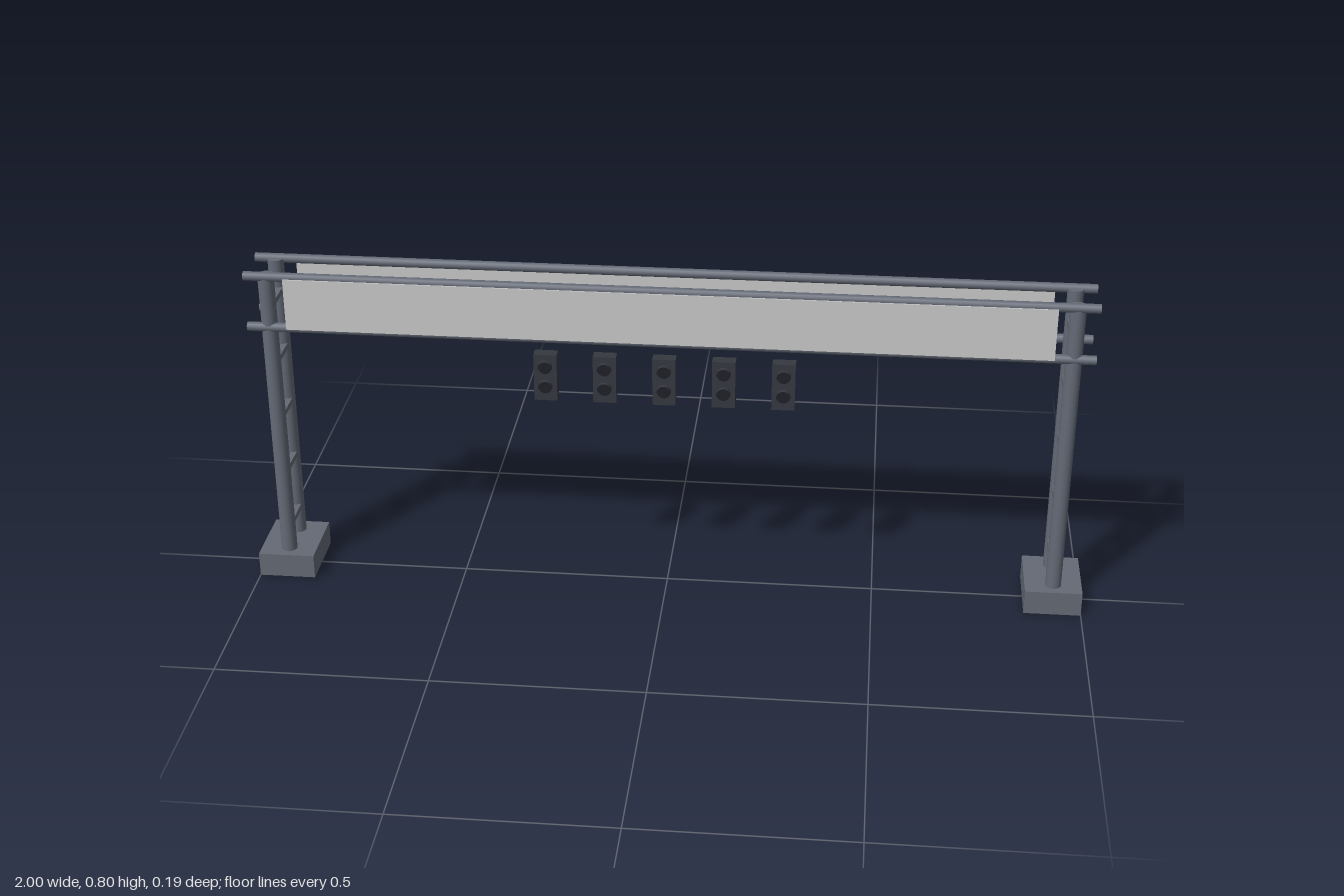
import * as THREE from 'three';

const mat = (name, color, side = THREE.FrontSide) => {
  const m = new THREE.MeshStandardMaterial({ color, side });
  m.name = name;
  return m;
};

export function createModel() {
  const steel = mat('blue grey steel', 0x646a76);
  const housing = mat('dark housing', 0x363841);
  const visorMat = mat('dark visor', 0x363841, THREE.DoubleSide);
  const lensMat = mat('black lens', 0x202127);
  const panelMat = mat('light grey panel', 0xcacaca);

  const model = new THREE.Group();
  model.name = 'signalGantry';

  const add = (name, geometry, material, x, y, z, parent = model) => {
    const mesh = new THREE.Mesh(geometry, material);
    mesh.name = name;
    mesh.position.set(x, y, z);
    parent.add(mesh);
    return mesh;
  };

  const midZ = -0.008;

  // Two ladder-like supports on footings
  const footGeo = new THREE.BoxGeometry(0.136, 0.06, 0.17);
  const postGeo = new THREE.CylinderGeometry(0.019, 0.019, 0.793, 20);
  const rungGeo = new THREE.BoxGeometry(0.03, 0.014, 0.074);
  for (const side of [-1, 1]) {
    const support = new THREE.Group();
    support.name = side > 0 ? 'leftSupport' : 'rightSupport';
    support.position.x = side * 0.932;
    model.add(support);
    add('footing', footGeo, steel, 0, 0.03, midZ, support);
    for (const dz of [-0.047, 0.047]) add('post', postGeo, steel, 0, 0.3965, midZ + dz, support);
    for (let i = 0; i < 5; i++) add('rung', rungGeo, steel, 0, 0.132 + i * 0.1465, midZ, support);
  }

  // Four long rails and a cladding panel on each face
  const railGeo = new THREE.CylinderGeometry(0.011, 0.011, 1.964, 16).rotateZ(Math.PI / 2);
  const panelGeo = new THREE.BoxGeometry(1.775, 0.126, 0.006);
  for (const side of [-1, 1]) {
    for (const y of [0.662, 0.79]) add('rail', railGeo, steel, 0, y, midZ + side * 0.056);
    add(side > 0 ? 'frontPanel' : 'backPanel', panelGeo, panelMat, 0, 0.726, midZ + side * 0.067);
  }

  // Row of two-lamp signal heads
  const headGeo = new THREE.BoxGeometry(0.054, 0.116, 0.028);
  const lensGeo = new THREE.CylinderGeometry(0.016, 0.016, 0.005, 20).rotateX(Math.PI / 2);
  const visorGeo = new THREE.CylinderGeometry(0.0165, 0.0165, 0.011, 20, 1, true, -Math.PI * 0.6, Math.PI * 1.2)
    .rotateX(Math.PI / 2).rotateZ(Math.PI);
  for (let i = -2; i <= 2; i++) {
    const head = new THREE.Group();
    head.name = 'signalHead';
    head.position.set(i * 0.138, 0.578, 0.071);
    model.add(head);
    add('housing', headGeo, housing, 0, 0, 0, head);
    for (const y of [-0.022, 0.028]) {
      add('lens', lensGeo, lensMat, 0, y, 0.0165, head);
      add('visor', visorGeo, visorMat, 0, y, 0.0195, head);
    }
  }

  return model;
}
